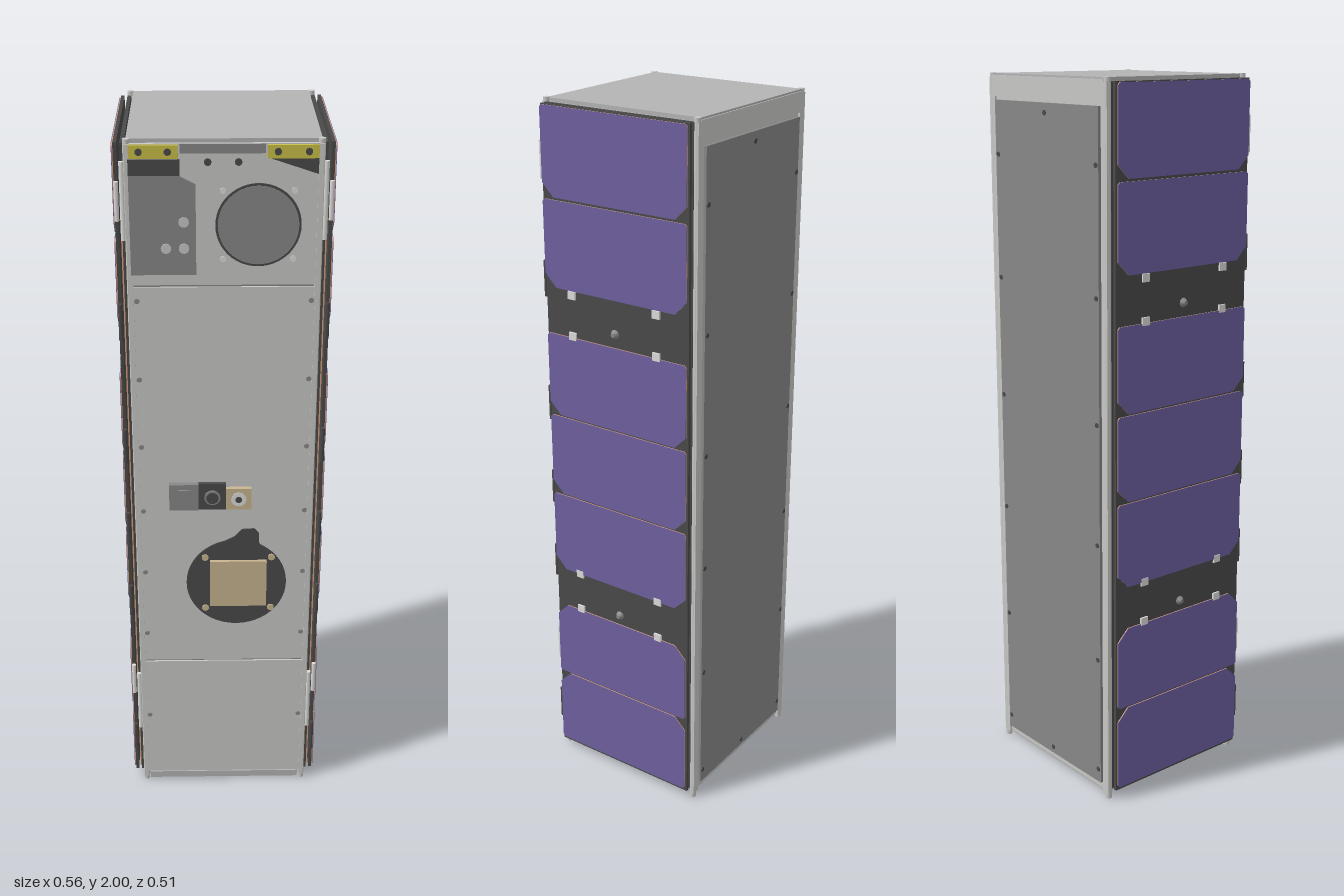
import * as THREE from 'three';

const mat = (name, color) => {
  const m = new THREE.MeshStandardMaterial({ color });
  m.name = name;
  return m;
};

export function createModel() {
  const silver = mat('silver', 0xc8c8c6), lidGrey = mat('lid grey', 0xb4b4b4);
  const midGrey = mat('mid grey', 0x888888), dark = mat('charcoal', 0x4a4a4a);
  const purple = mat('solar purple', 0x6e60a0), copper = mat('copper', 0xd8a07a);
  const tan = mat('tan', 0xc8b590), yellow = mat('yellow', 0xc9c048), white = mat('pale fitting', 0xdcdcda);

  const root = new THREE.Group();
  root.name = 'satellite';
  const add = (name, geo, m, parent = root) => {
    const mesh = new THREE.Mesh(geo, m);
    mesh.name = name;
    parent.add(mesh);
    return mesh;
  };
  // box given by its minimum and maximum corners
  const box = (name, m, x0, x1, y0, y1, z0, z1, parent) => {
    const g = new THREE.BoxGeometry(x1 - x0, y1 - y0, z1 - z0);
    g.translate((x0 + x1) / 2, (y0 + y1) / 2, (z0 + z1) / 2);
    return add(name, g, m, parent);
  };
  // disc facing along z, from z0 to z1
  const disc = (name, m, x, y, r, z0, z1, parent, sides = 16) => {
    const g = new THREE.CylinderGeometry(r, r, z1 - z0, sides);
    g.rotateX(Math.PI / 2).translate(x, y, (z0 + z1) / 2);
    return add(name, g, m, parent);
  };
  const polygon = (pts) => new THREE.Shape(pts.map(([x, y]) => new THREE.Vector2(x, y)));
  const extrude = (shape, depth) =>
    new THREE.ExtrudeGeometry(shape, { depth, bevelEnabled: false, curveSegments: 24 });

  // Main body, lid and base
  box('body', silver, -0.238, 0.238, 0.02, 1.985, -0.247, 0.226);
  box('lid', lidGrey, -0.238, 0.238, 1.985, 1.995, -0.25, 0.225);
  box('base', lidGrey, -0.23, 0.23, 0.008, 0.02, -0.24, 0.22);
  box('lowerLip', lidGrey, -0.225, 0.225, 0.006, 0.028, 0.21, 0.235);

  // Front panels with narrow seams between them
  for (const [y0, y1] of [[0.03, 0.447], [0.453, 1.617], [1.623, 1.985]])
    box('frontPanel', silver, -0.235, 0.235, y0, y1, 0.226, 0.234);
  box('frontSeams', midGrey, -0.234, 0.234, 0.03, 1.98, 0.225, 0.229);

  // Back panel with its frame
  box('backPanel', midGrey, -0.222, 0.222, 0.04, 1.925, -0.2565, -0.246);
  box('backTopRail', silver, -0.238, 0.238, 1.935, 1.99, -0.253, -0.246);

  for (const s of [-1, 1]) {
    // Corner rails and feet
    box('backRail', silver, Math.min(s * 0.228, s * 0.252), Math.max(s * 0.228, s * 0.252), 0.015, 1.985, -0.253, -0.24);
    box('frontRail', silver, Math.min(s * 0.23, s * 0.243), Math.max(s * 0.23, s * 0.243), 0.015, 1.985, 0.22, 0.238);
    for (const z of [-0.245, 0.227]) {
      const g = new THREE.CylinderGeometry(0.009, 0.009, 1.996, 12);
      add('cornerPost', g, silver).position.set(s * (z < 0 ? 0.244 : 0.237), 0.998, z);
    }
    // Fasteners along the front and back edges
    for (const y of [0.25, 0.55, 0.76, 0.96, 1.16, 1.36, 1.58])
      disc('frontScrew', midGrey, s * 0.222, y, 0.007, 0.234, 0.237, root, 8);
    for (const y of [0.08, 0.42, 0.76, 1.1, 1.44, 1.78])
      disc('backScrew', dark, s * 0.212, y, 0.007, -0.2585, -0.256, root, 8);
  }
  for (const y of [0.06, 1.9]) disc('backScrew', dark, 0, y, 0.007, -0.2585, -0.256, root, 8);

  // Folded solar wings, one stack on each side
  const cells = [ // bottom, top, 1 when the large corner cuts are at the top
    [1.747, 1.983, 0], [1.502, 1.74, 0], [1.133, 1.37, 0], [0.889, 1.128, 0],
    [0.643, 0.884, 0], [0.284, 0.52, 1], [0.038, 0.279, 1]];
  const cellShape = ([y0, y1, cutTop]) => {
    const w = 0.228, big = 0.036, small = 0.006;
    const b = cutTop ? small : big, t = cutTop ? big : small;
    return polygon([[-w + b, y0], [w - b, y0], [w, y0 + b], [w, y1 - t],
      [w - t, y1], [-w + t, y1], [-w, y1 - t], [-w, y0 + b]]);
  };
  for (const s of [-1, 1]) {
    const wing = new THREE.Group();
    wing.name = s > 0 ? 'leftWing' : 'rightWing';
    root.add(wing);
    const slab = (name, m, xa, xb, y0, y1, z0, z1) =>
      box(name, m, Math.min(s * xa, s * xb), Math.max(s * xa, s * xb), y0, y1, z0, z1, wing);
    slab('innerPanel', dark, 0.243, 0.253, 0.03, 1.985, -0.24, 0.222);
    slab('innerCells', copper, 0.253, 0.257, 0.04, 1.75, -0.23, 0.218);
    slab('outerPanel', dark, 0.261, 0.27, 0.03, 1.985, -0.24, 0.222);
    const layer = (name, shape, m, x, depth) => {
      const g = extrude(shape, depth);
      g.rotateY(s * Math.PI / 2).translate(s * x, 0, -0.006);
      add(name, g, m, wing);
    };
    for (const c of cells) {
      layer('cellBacking', cellShape(c), copper, 0.27, 0.0025);
      layer('solarCell', cellShape(c), purple, 0.2725, 0.0015);
    }
    // Cell clips and hold-down knobs in the two open bands
    for (const y of [1.49, 1.375, 0.643, 0.526])
      for (const z of [-0.14, 0.135])
        slab('cellClip', white, 0.27, 0.2755, y - 0.011, y + 0.011, z - 0.012, z + 0.012);
    for (const y of [1.408, 0.55]) {
      const g = new THREE.CylinderGeometry(0.006, 0.014, 0.012, 12);
      g.rotateZ(-s * Math.PI / 2).translate(s * 0.275, y, -0.005);
      add('holdDownKnob', g, midGrey, wing);
    }
    // Hinges along the front edge
    for (const y of [0.16, 0.38, 0.66, 0.9, 1.16, 1.52, 1.84]) {
      const g = new THREE.CylinderGeometry(0.006, 0.006, 0.1, 10);
      add('hinge', g, y === 0.38 || y === 1.84 ? white : dark, wing).position.set(s * 0.265, y, 0.227);
    }
    for (const y of [0.3, 1.84]) {
      const g = new THREE.CylinderGeometry(0.007, 0.007, 0.2, 10);
      add('hingePin', g, white, wing).position.set(s * 0.25, y, 0.227);
    }
  }

  // Upper front: yellow connector strips and the bar between them
  for (const [x0, x1] of [[-0.232, -0.112], [0.105, 0.23]]) {
    box('connectorStrip', yellow, x0, x1, 1.95, 1.983, 0.234, 0.242);
    for (const x of [x0 + 0.025, x1 - 0.025]) disc('stripScrew', dark, x, 1.967, 0.009, 0.242, 0.245, root, 10);
  }
  box('topBar', midGrey, -0.108, 0.1, 1.962, 1.985, 0.234, 0.239);
  add('cornerGusset', extrude(polygon([[0.11, 1.95], [0.23, 1.91], [0.23, 1.95]]), 0.004), dark).position.z = 0.234;
  for (const x of [-0.04, 0.035]) disc('barScrew', dark, x, 1.94, 0.009, 0.234, 0.238);

  // Notched bracket plate with three pale studs
  add('bracketPlate', extrude(polygon([[-0.234, 1.652], [-0.07, 1.652], [-0.07, 1.885],
    [-0.108, 1.905], [-0.108, 1.945], [-0.234, 1.945]]), 0.005), midGrey).position.z = 0.234;
  box('bracketLip', dark, -0.234, -0.108, 1.908, 1.948, 0.238, 0.2405);
  for (const [x, y] of [[-0.1, 1.79], [-0.145, 1.722], [-0.1, 1.722]])
    disc('bracketStud', silver, x, y, 0.013, 0.238, 0.242);

  // Round sensor opening with a dark rim
  disc('sensorRim', dark, 0.085, 1.78, 0.107, 0.234, 0.236, root, 48);
  disc('sensorWindow', midGrey, 0.085, 1.78, 0.101, 0.234, 0.238, root, 48);
  for (const [x, y] of [[-1, -1], [-1, 1], [1, -1], [1, 1]])
    disc('sensorScrew', white, 0.085 + x * 0.088, 1.78 + y * 0.088, 0.008, 0.234, 0.2365, root, 10);

  // Small camera cluster
  box('cameraPlate', midGrey, -0.15, -0.07, 0.97, 1.05, 0.234, 0.25);
  box('cameraCover', midGrey, -0.125, -0.09, 0.985, 1.035, 0.25, 0.254);
  box('cameraBlock', dark, -0.07, 0.005, 0.97, 1.05, 0.234, 0.245);
  disc('cameraRing', midGrey, -0.032, 1.008, 0.022, 0.245, 0.249, root, 20);
  disc('cameraLens', dark, -0.032, 1.008, 0.017, 0.245, 0.252, root, 20);
  box('sunSensor', tan, 0.005, 0.075, 0.97, 1.035, 0.234, 0.246);
  disc('sunSensorRing', white, 0.04, 1.002, 0.021, 0.246, 0.248, root, 20);
  disc('sunSensorEye', dark, 0.04, 1.002, 0.009, 0.246, 0.251, root, 16);

  // Patch antenna on a dark round base with a rounded lug
  const ax = 0.035, ay = 0.725;
  disc('antennaBase', dark, ax, ay, 0.141, 0.234, 0.238, root, 48);
  add('antennaLug', extrude(polygon([[-0.03, 0.845], [0.03, 0.877], [0.05, 0.9], [0.085, 0.902],
    [0.098, 0.885], [0.098, 0.855], [0.12, 0.82], [0.03, 0.8]]), 0.0038), dark).position.z = 0.234;
  box('antennaPatch', tan, -0.04, 0.12, 0.65, 0.8, 0.238, 0.247);
  for (const sx of [-1, 1])
    for (const sy of [-1, 1])
      disc('antennaScrew', tan, ax + 0.005 + sx * 0.093, ay + sy * 0.085, 0.01, 0.238, 0.242, root, 10);

  return root;
}
